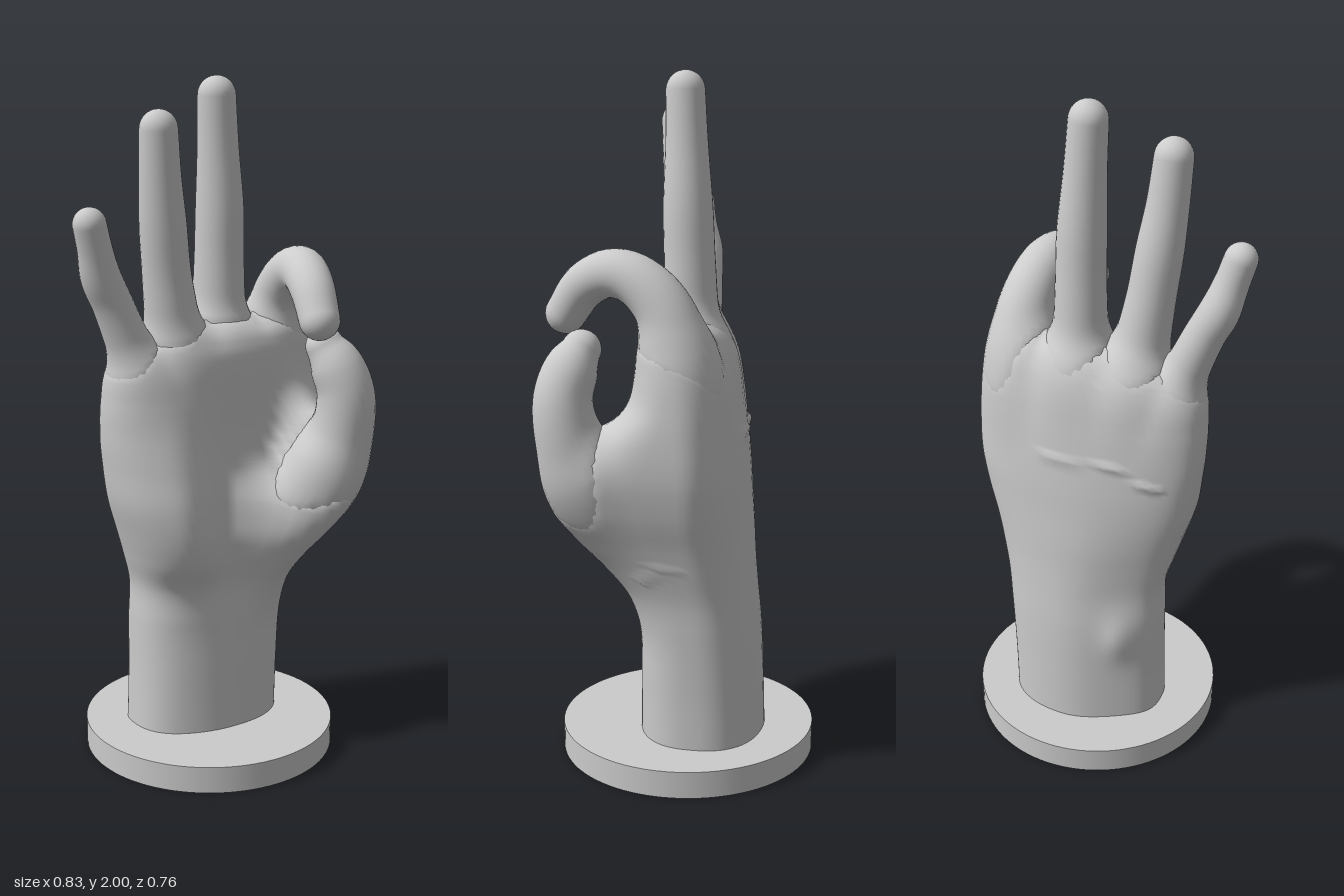
import * as THREE from 'three';

const material = new THREE.MeshStandardMaterial({ color: 0xcccccc, roughness: 0.8 });
const { lerp, smoothstep, clamp } = THREE.MathUtils;

// Skins a stack of closed rings (counter-clockwise about the stacking direction), capped at both ends.
function loft(rings) {
  const n = rings[0].length, m = rings.length;
  const points = rings.flat(), index = [];
  for (let j = 0; j < m - 1; j++) {
    for (let i = 0; i < n; i++) {
      const a = j * n + i, b = j * n + (i + 1) % n;
      index.push(a, b, a + n, b, b + n, a + n);
    }
  }
  const centre = (ring) => ring.reduce((s, p) => s.add(p), new THREE.Vector3()).divideScalar(n);
  const bottom = points.push(centre(rings[0])) - 1;
  const top = points.push(centre(rings[m - 1])) - 1;
  for (let i = 0; i < n; i++) {
    const k = (i + 1) % n, e = (m - 1) * n;
    index.push(bottom, k, i, top, e + i, e + k);
  }
  const geometry = new THREE.BufferGeometry().setFromPoints(points);
  geometry.setIndex(index);
  geometry.computeVertexNormals();
  return geometry;
}

// Tapered digit through [x, y, z, radius] stations, ending in a rounded tip.
function digit(stations, sides = 28, steps = 48) {
  const path = new THREE.CatmullRomCurve3(stations.map(([x, y, z]) => new THREE.Vector3(x, y, z)));
  const radii = new THREE.CatmullRomCurve3(
    stations.map((s) => new THREE.Vector3(s[3], 0, 0)), false, 'catmullrom');
  const { tangents, normals, binormals } = path.computeFrenetFrames(steps);
  const rings = [];
  const addRing = (c, r, k) => {
    const ring = [];
    for (let i = 0; i < sides; i++) {
      const a = i / sides * Math.PI * 2;
      ring.push(c.clone().addScaledVector(normals[k], r * Math.cos(a))
        .addScaledVector(binormals[k], r * Math.sin(a)));
    }
    rings.push(ring);
  };
  for (let k = 0; k <= steps; k++) {
    const t = path.getUtoTmapping(k / steps);
    addRing(path.getPoint(t), radii.getPoint(t).x, k);
  }
  const tip = path.getPoint(1), r = stations[stations.length - 1][3];
  for (let k = 1; k <= 9; k++) {
    const a = k / 9 * Math.PI * 0.49;
    addRing(tip.clone().addScaledVector(tangents[steps], r * Math.sin(a)), r * Math.cos(a), steps);
  }
  return loft(rings);
}

// Wrist and palm: y, right edge, left edge, back, then front depth on the outer, middle and thumb side.
const palmSections = [
  [0.06, -0.205, 0.27, -0.24, 0.12, 0.13, 0.13],
  [0.25, -0.2, 0.275, -0.235, 0.12, 0.125, 0.13],
  [0.42, -0.2, 0.285, -0.228, 0.12, 0.12, 0.135],
  [0.53, -0.2, 0.295, -0.218, 0.135, 0.115, 0.175],
  [0.62, -0.225, 0.315, -0.21, 0.195, 0.13, 0.245],
  [0.7, -0.25, 0.335, -0.205, 0.22, 0.14, 0.31],
  [0.8, -0.28, 0.365, -0.197, 0.22, 0.14, 0.36],
  [0.9, -0.295, 0.385, -0.19, 0.2, 0.13, 0.345],
  [1.0, -0.305, 0.39, -0.18, 0.175, 0.125, 0.26],
  [1.1, -0.3, 0.383, -0.165, 0.15, 0.125, 0.16],
  [1.2, -0.265, 0.362, -0.142, 0.125, 0.125, 0.125],
  [1.25, -0.19, 0.34, -0.122, 0.11, 0.115, 0.11],
  [1.29, -0.1, 0.3, -0.09, 0.08, 0.085, 0.08],
  [1.31, 0.0, 0.24, -0.05, 0.03, 0.03, 0.03],
];

function palm(sides = 80, steps = 100) {
  const spline = new THREE.CubicInterpolant(
    palmSections.map((s) => s[0]), palmSections.flatMap((s) => s.slice(1)), 6);
  const rings = [];
  for (let j = 0; j <= steps; j++) {
    const y = lerp(0.06, 1.31, j / steps);
    const [xl, xr, back, outer, middle, inner] = spline.evaluate(y);
    const mid = (back + middle) / 2;
    const rampStart = lerp(0.45, 0.7, smoothstep(y, 0.65, 1.0));
    const ring = [];
    for (let i = 0; i < sides; i++) {
      const a = i / sides * Math.PI * 2, c = Math.cos(a), d = -Math.sin(a);
      // The corner under the thumb is squarer than the rest of the outline
      const power = 0.82 - (c > 0 && d > 0 ? clamp((inner - middle) * 1.6, 0, 0.35) : 0);
      const u = 0.5 + 0.5 * Math.sign(c) * Math.abs(c) ** power;
      const s = Math.sign(d) * Math.abs(d) ** power;
      const front = lerp(outer, middle, smoothstep(u, 0.15, 0.5))
        + (inner - middle) * smoothstep(u, rampStart, 0.88);
      // The back is shallower on the outer side, with the wrist bone swelling out of it
      const bone = 0.025 * Math.exp(-(((y - 0.38) / 0.08) ** 2) - ((u - 0.17) / 0.1) ** 2);
      const shallow = lerp(0.05, 0.025, smoothstep(y, 0.5, 0.9));
      const rear = back + shallow * (1 - smoothstep(u, 0.05, 0.55)) - bone;
      ring.push(new THREE.Vector3(
        xl + (xr - xl) * u, y, mid + s * (s > 0 ? front - mid : mid - rear)));
    }
    rings.push(ring);
  }
  return loft(rings);
}

// Swells a surface where it runs close to the others, giving fleshy fillets at the joins.
function swollen(geometry, others, reach = 0.075) {
  const { position, normal } = geometry.attributes;
  const result = geometry.clone(), out = result.attributes.position;
  for (let i = 0; i < position.count; i++) {
    const x = position.getX(i), y = position.getY(i), z = position.getZ(i);
    let nearest = reach * reach, gap = reach;
    for (const other of others) {
      const p = other.attributes.position.array, n = other.attributes.normal.array;
      for (let k = 0; k < p.length; k += 3) {
        const dx = x - p[k], dy = y - p[k + 1], dz = z - p[k + 2];
        const d = dx * dx + dy * dy + dz * dz;
        if (d < nearest) {
          nearest = d;
          gap = Math.abs(dx * n[k] + dy * n[k + 1] + dz * n[k + 2]);
        }
      }
    }
    const h = (reach - gap) ** 2 / (4 * reach);
    out.setXYZ(i, x + normal.getX(i) * h, y + normal.getY(i) * h, z + normal.getZ(i) * h);
  }
  result.computeVertexNormals();
  return result;
}

// Each digit starts buried in the palm so its root blends into the knuckles.
const digits = {
  littleFinger: [
    [-0.14, 0.95, -0.01, 0.07], [-0.192, 1.12, 0.0, 0.08], [-0.226, 1.23, 0.005, 0.067],
    [-0.286, 1.38, 0.005, 0.058], [-0.325, 1.46, 0.01, 0.057], [-0.35, 1.54, 0.025, 0.049],
    [-0.37, 1.61, 0.035, 0.047],
  ],
  ringFinger: [
    [-0.05, 1.0, -0.02, 0.08], [-0.08, 1.18, -0.015, 0.096], [-0.1, 1.32, 0.01, 0.08],
    [-0.122, 1.46, 0.02, 0.07], [-0.14, 1.6, 0.032, 0.067], [-0.155, 1.73, 0.045, 0.059],
    [-0.165, 1.858, 0.055, 0.054],
  ],
  middleFinger: [
    [0.075, 1.0, -0.04, 0.08], [0.078, 1.18, -0.035, 0.1], [0.076, 1.32, -0.02, 0.081],
    [0.075, 1.48, -0.015, 0.073], [0.073, 1.63, -0.01, 0.07], [0.064, 1.8, -0.005, 0.06],
    [0.056, 1.945, 0.0, 0.055],
  ],
  indexFinger: [
    [0.22, 0.92, -0.02, 0.07], [0.258, 1.13, -0.04, 0.088], [0.268, 1.27, -0.015, 0.09],
    [0.262, 1.385, 0.035, 0.079], [0.25, 1.448, 0.11, 0.071], [0.235, 1.458, 0.18, 0.067],
    [0.212, 1.418, 0.257, 0.063], [0.197, 1.34, 0.314, 0.058],
  ],
  thumb: [
    [0.2, 0.68, 0.06, 0.06], [0.24, 0.78, 0.17, 0.09], [0.283, 0.89, 0.252, 0.108],
    [0.307, 1.0, 0.285, 0.092], [0.306, 1.12, 0.298, 0.083], [0.284, 1.2, 0.278, 0.076],
    [0.262, 1.25, 0.255, 0.056],
  ],
};

export function createModel() {
  const model = new THREE.Group();
  const add = (name, geometry) => {
    const mesh = new THREE.Mesh(geometry, material);
    mesh.name = name;
    model.add(mesh);
    return mesh;
  };

  // Round stand
  add('base', new THREE.CylinderGeometry(0.378, 0.378, 0.08, 96)).position.set(0.035, 0.04, -0.003);

  const palmShape = palm();
  const digitShapes = Object.entries(digits).map(([name, stations]) => [name, digit(stations)]);
  add('wristAndPalm', swollen(palmShape, digitShapes.map(([, shape]) => shape)));
  for (const [name, shape] of digitShapes) add(name, swollen(shape, [palmShape]));

  return model;
}
